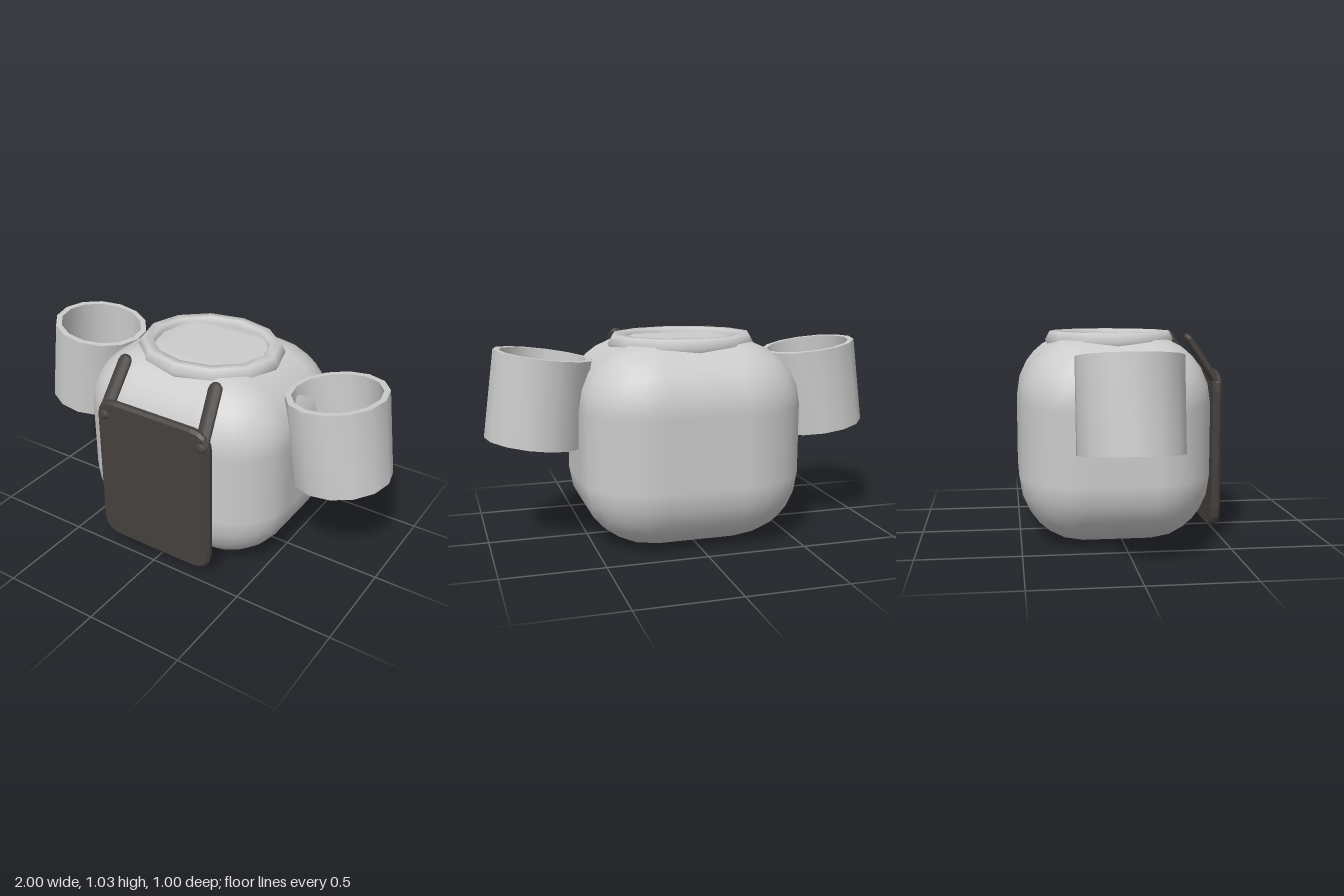
import * as THREE from 'three';
import { RoundedBoxGeometry } from 'three/addons/geometries/RoundedBoxGeometry.js';
import { toCreasedNormals } from 'three/addons/utils/BufferGeometryUtils.js';

const CENTER_Z = -0.03;

export function createModel() {
  const model = new THREE.Group();
  model.name = 'torso';
  const shell = new THREE.MeshStandardMaterial({ color: 0xcccccc });
  const dark = new THREE.MeshStandardMaterial({ color: 0x45403d });

  const add = (name, geometry, material) => {
    const mesh = new THREE.Mesh(geometry, material);
    mesh.name = name;
    model.add(mesh);
    return mesh;
  };

  // Soft, rounded body
  const bodyGeo = new RoundedBoxGeometry(1, 1, 1, 3, 0.325);
  bodyGeo.scale(1.12, 1.012, 0.95);
  add('body', bodyGeo, shell).position.set(0, 0.506, CENTER_Z);

  // Oval neck collar, half sunk into the top
  const collarGeo = new THREE.TorusGeometry(0.33, 0.05, 6, 12);
  collarGeo.rotateX(Math.PI / 2);
  collarGeo.scale(1, 1, 0.87);
  add('neckCollar', collarGeo, shell).position.set(0, 0.986, CENTER_Z);

  // Open sleeves, flared outward at the bottom
  const h = 0.217, outer = 0.243, inner = 0.213;
  const profile = [[inner, -h], [outer, -h], [outer, h], [inner, h], [inner, -h]]
    .map(([r, y]) => new THREE.Vector2(r, y));
  const sleeveGeo = toCreasedNormals(
    new THREE.LatheGeometry(profile, 14, Math.PI / 2), 0.7);
  for (const side of [1, -1]) {
    const sleeve = add(side > 0 ? 'leftSleeve' : 'rightSleeve', sleeveGeo, shell);
    sleeve.material = shell;
    sleeve.position.set(side * 0.729, 0.732, -0.025);
    sleeve.rotation.z = side * 0.139;
  }

  // Bib panel with rounded corners and a fine bevel
  const b = 0.013, w = 0.325 - b, y0 = 0.053 + b, y1 = 0.845 - b, r = 0.09;
  const s = new THREE.Shape();
  s.moveTo(-w + r, y0);
  s.lineTo(w - r, y0);
  s.quadraticCurveTo(w, y0, w, y0 + r);
  s.lineTo(w, y1 - r);
  s.quadraticCurveTo(w, y1, w - r, y1);
  s.lineTo(-w + r, y1);
  s.quadraticCurveTo(-w, y1, -w, y1 - r);
  s.lineTo(-w, y0 + r);
  s.quadraticCurveTo(-w, y0, -w + r, y0);
  const panelGeo = new THREE.ExtrudeGeometry(s, {
    depth: 0.019, bevelSize: b, bevelThickness: b, bevelSegments: 1, curveSegments: 4,
  });
  add('bibPanel', panelGeo, dark).position.z = 0.455;

  // Flattened straps leaning back from the panel to the shoulders
  for (const side of [1, -1]) {
    const low = new THREE.Vector3(side * 0.282, 0.755, 0.487);
    const high = new THREE.Vector3(side * 0.257, 1.012, 0.318);
    const length = low.distanceTo(high);
    const strapGeo = new THREE.CapsuleGeometry(0.038, length - 0.05, 3, 10);
    strapGeo.scale(1, 1, 0.52);
    const strap = add(side > 0 ? 'leftStrap' : 'rightStrap', strapGeo, dark);
    strap.position.copy(low).lerp(high, 0.5);
    strap.quaternion.setFromUnitVectors(
      new THREE.Vector3(0, 1, 0), high.clone().sub(low).normalize());
  }

  return model;
}
